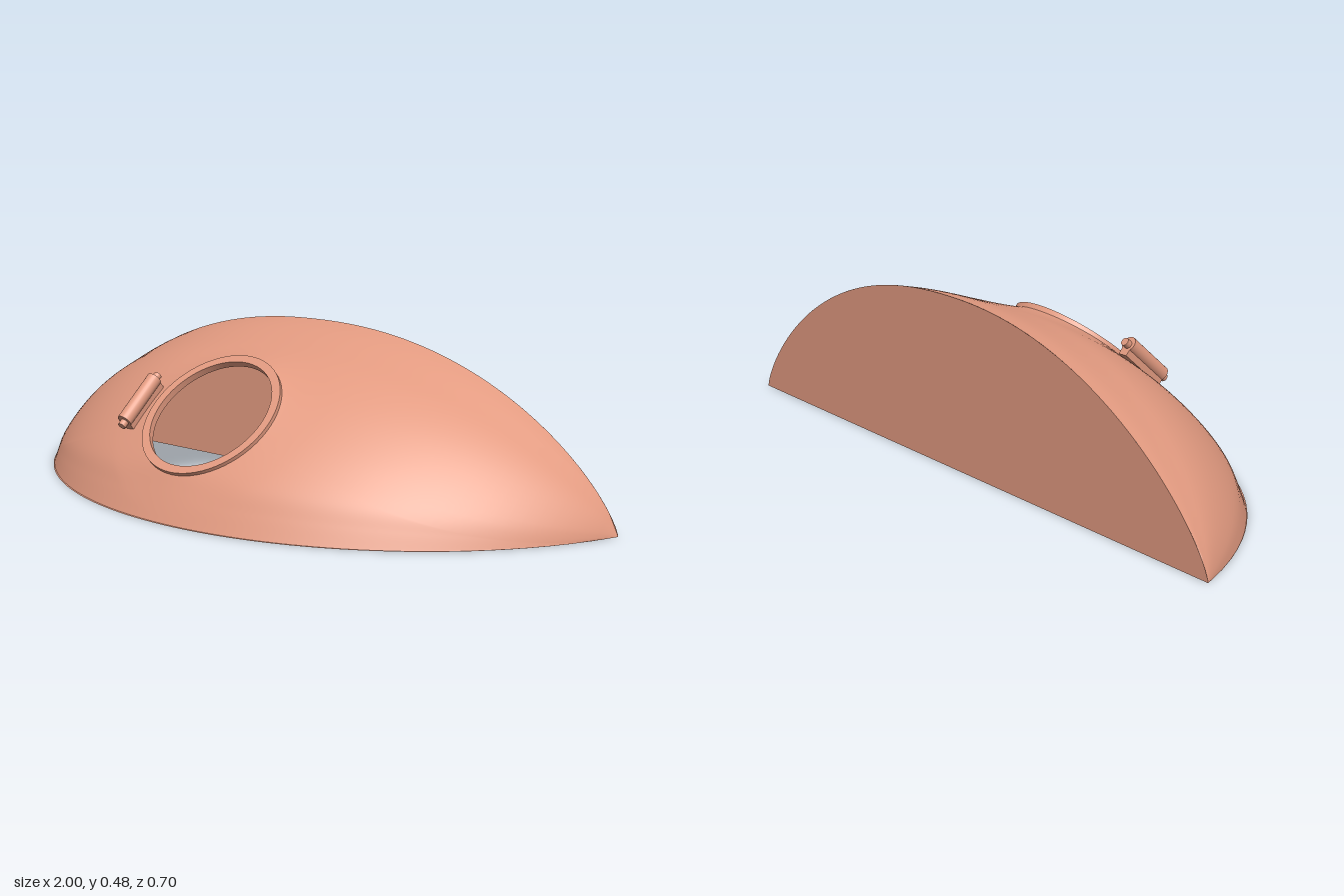
import * as THREE from 'three';

const BACK = -0.35, DEPTH = 0.692, HEIGHT = 0.478;
const X = new THREE.Vector3(1, 0, 0);
const N = new THREE.Vector3(0, 0.758, 0.652);   // hatch axis
const T = new THREE.Vector3(0, 0.652, -0.758);  // up the slope
const HATCH = new THREE.Vector3(0, 0.267, 0.125);
const HOLE_V = 0.39, HOLE_R = 0.208, LENGTH = 0.885;

// Plan and rear outlines, both tapering to a point at each side
const depthAt = (x) => Math.max(0, Math.sqrt(1.132 - x * x) - 0.364) / 0.7 * DEPTH;
const heightAt = (x) => HEIGHT * Math.pow(Math.max(0, 1 - Math.pow(Math.abs(x), 2.2)), 0.75);

// Front-to-back profile as [z, y]
const profile = new THREE.CatmullRomCurve3([
  [0.342, 0], [0.312, 0.06], [0.277, 0.121], [0.2, 0.203], [0.1, 0.286], [0, 0.352],
  [-0.1, 0.401], [-0.2, 0.435], [-0.29, 0.464], [-0.35, 0.478],
].map(([z, y]) => new THREE.Vector3(0, y, z - BACK)));

function surfacePoint(x, v) {
  const p = profile.getPointAt(v);
  return new THREE.Vector3(x, p.y / HEIGHT * heightAt(x), BACK + p.z / DEPTH * depthAt(x));
}

// Indexed grid from a point function; the rows may wrap around
function grid(nu, nv, point, wrap) {
  const pos = [], idx = [], cols = wrap ? nu : nu + 1;
  for (let j = 0; j <= nv; j++)
    for (let i = 0; i < cols; i++) pos.push(...point(i, j).toArray());
  for (let j = 0; j < nv; j++)
    for (let i = 0; i < nu; i++) {
      const n = (i + 1) % cols;
      const a = j * cols + i, b = a + cols, c = (j + 1) * cols + n, d = j * cols + n;
      idx.push(a, b, c, a, c, d);
    }
  const g = new THREE.BufferGeometry();
  g.setAttribute('position', new THREE.Float32BufferAttribute(pos, 3));
  g.setIndex(idx);
  g.computeVertexNormals();
  return g;
}

// Shell skin: rings spreading from the round hole to the outer border
function skin() {
  const border = [], LONG = 64, SHORT = 16, RINGS = 32;
  for (let i = 0; i < LONG; i++) border.push([-1 + 2 * i / LONG, 0]);
  for (let i = 0; i < SHORT; i++) border.push([1, i / SHORT]);
  for (let i = 0; i < LONG; i++) border.push([1 - 2 * i / LONG, 1]);
  for (let i = 0; i < SHORT; i++) border.push([-1, 1 - i / SHORT]);
  return grid(border.length, RINGS, (i, j) => {
    const [bx, bv] = border[i];
    const a = Math.atan2((bv - HOLE_V) * LENGTH, bx), t = j / RINGS;
    const hx = HOLE_R * Math.cos(a), hs = HOLE_R * Math.sin(a);
    const x = THREE.MathUtils.lerp(hx, bx, t);
    const v = THREE.MathUtils.lerp(HOLE_V + hs / LENGTH, bv, t);
    const p = surfacePoint(x, THREE.MathUtils.clamp(v, 0, 1));
    const edge = HATCH.clone().addScaledVector(X, hx).addScaledVector(T, hs).addScaledVector(N, -0.01);
    // Flare up to the rim within a short distance of the hole
    const away = Math.hypot(x - hx, (v - HOLE_V) * LENGTH - hs);
    return p.lerp(edge, 1 - THREE.MathUtils.smoothstep(away, 0, 0.12));
  }, true);
}

export function createModel() {
  const group = new THREE.Group();
  const clay = new THREE.MeshStandardMaterial({ color: 0xe29a80, side: THREE.DoubleSide });
  clay.name = 'terracotta';
  const add = (name, geometry, parent = group) => {
    const mesh = new THREE.Mesh(geometry, clay);
    mesh.name = name;
    parent.add(mesh);
    return mesh;
  };

  // Domed shell and the narrow flat lip along its lower edge
  add('shell', skin());
  add('lowerLip', grid(64, 1, (i, j) => {
    const p = surfacePoint(-1 + i / 32, 0);
    const inward = new THREE.Vector3(-p.x, 0, -0.72 - p.z).normalize();
    if (j) p.addScaledVector(inward, 0.038);
    else p.z += 0.008 * (1 - p.x * p.x);
    p.z = Math.max(BACK, p.z);
    return p;
  }, false));

  // Flat rear wall
  const wall = new THREE.Shape();
  wall.moveTo(-1, 0);
  for (let i = 1; i <= 64; i++) {
    const x = -Math.cos(i / 64 * Math.PI);
    wall.lineTo(x, heightAt(x));
  }
  add('backWall', new THREE.ShapeGeometry(wall).rotateY(Math.PI).translate(0, 0, BACK));

  // Hatch frame: local y points out along the hatch axis, local z down the slope
  const frame = new THREE.Matrix4().makeBasis(X, N, T.clone().negate());
  const turn = new THREE.Quaternion().setFromRotationMatrix(frame);

  // Round raised rim, one face at a time to keep its edges sharp
  const section = [[0.188, -0.02], [0.213, -0.016], [0.213, 0], [0.188, 0], [0.188, -0.02]];
  const rim = new THREE.Group();
  rim.name = 'hatchRim';
  rim.position.copy(HATCH);
  rim.quaternion.copy(turn);
  group.add(rim);
  for (let i = 1; i < section.length; i++) {
    const side = [section[i - 1], section[i]].map(([r, y]) => new THREE.Vector2(r, y));
    add('rimFace', new THREE.LatheGeometry(side, 64), rim);
  }

  // Hinge: a barrel on a narrow foot, with a thinner pin running through it
  const hinge = new THREE.Group();
  hinge.name = 'hinge';
  hinge.position.set(-0.26, 0.272, 0.14);
  hinge.quaternion.copy(turn);
  group.add(hinge);
  add('hingeBarrel', new THREE.CylinderGeometry(0.022, 0.022, 0.163, 24).rotateX(Math.PI / 2), hinge);
  add('hingePin', new THREE.CylinderGeometry(0.012, 0.012, 0.197, 16).rotateX(Math.PI / 2), hinge)
    .position.y = -0.003;
  add('hingeFoot', new THREE.BoxGeometry(0.03, 0.03, 0.163), hinge).position.y = -0.02;

  return group;
}
